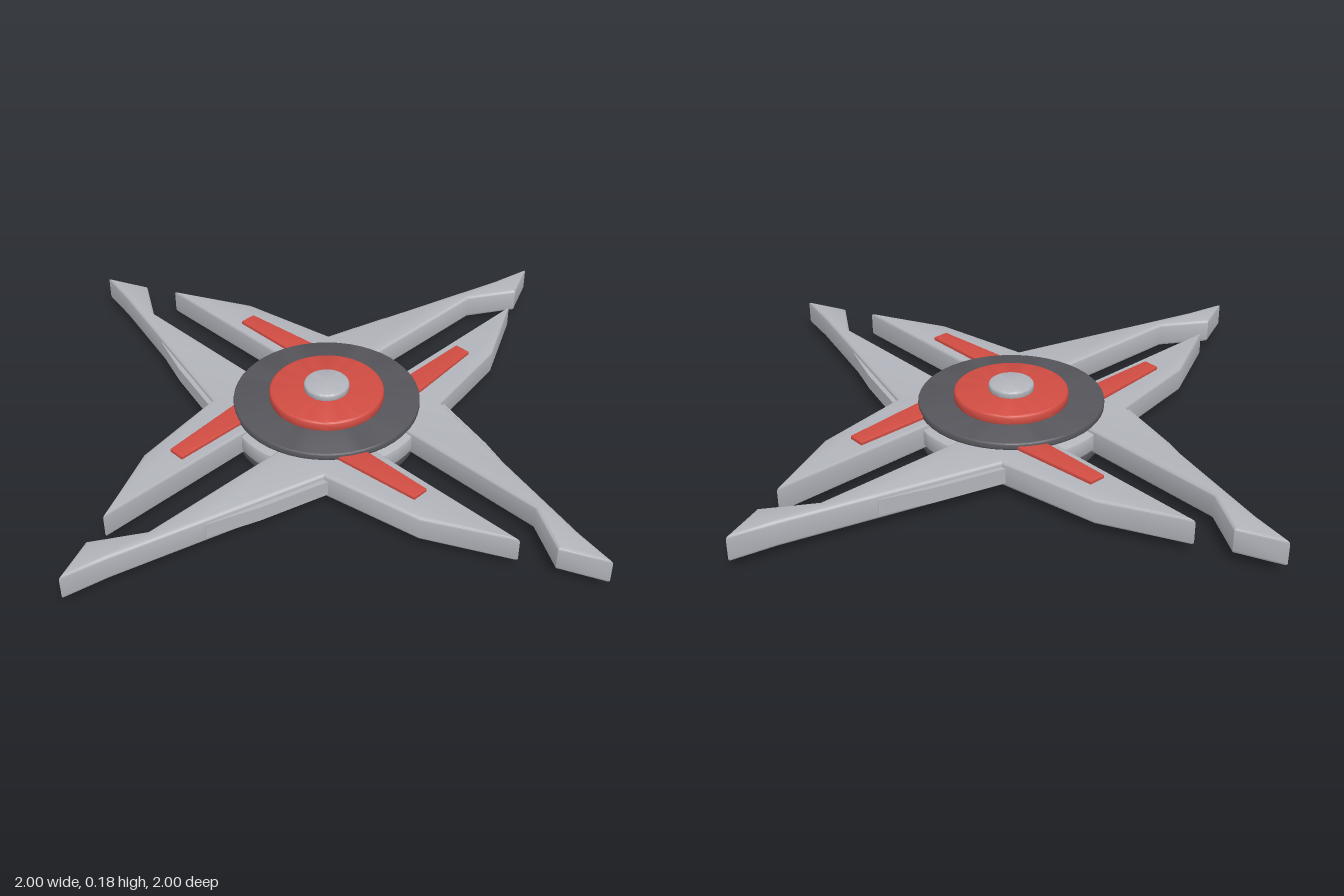
import * as THREE from 'three';
import { toCreasedNormals } from 'three/addons/utils/BufferGeometryUtils.js';

const steel = new THREE.MeshStandardMaterial({ color: 0xb2b4bb });
steel.name = 'steel grey';
const dark = new THREE.MeshStandardMaterial({ color: 0x55555b });
dark.name = 'dark grey';
const red = new THREE.MeshStandardMaterial({ color: 0xd04c42 });
red.name = 'red';

// Extrudes an [x, z] outline upward from y0 to y1, with an inward edge bevel
function slab(name, points, y0, y1, bevel, material) {
  const shape = new THREE.Shape(points.map(([x, z]) => new THREE.Vector2(x, -z)));
  const geometry = new THREE.ExtrudeGeometry(shape, {
    depth: y1 - y0 - 2 * bevel,
    bevelEnabled: bevel > 0,
    bevelThickness: bevel,
    bevelSize: bevel,
    bevelOffset: -bevel,
    bevelSegments: 3,
  });
  geometry.rotateX(-Math.PI / 2);
  geometry.translate(0, y0 + bevel, 0);
  const mesh = new THREE.Mesh(toCreasedNormals(geometry, 0.6), material);
  mesh.name = name;
  return mesh;
}

// Round disc with softly rounded rims
function disc(name, radius, y0, y1, round, material) {
  const profile = [new THREE.Vector2(0, y0)];
  for (let i = 0; i <= 4; i++) {
    const a = (i / 4) * Math.PI / 2;
    profile.push(new THREE.Vector2(radius - round + round * Math.sin(a), y0 + round - round * Math.cos(a)));
  }
  for (let i = 0; i <= 4; i++) {
    const a = (i / 4) * Math.PI / 2;
    profile.push(new THREE.Vector2(radius - round + round * Math.cos(a), y1 - round + round * Math.sin(a)));
  }
  profile.push(new THREE.Vector2(0, y1));
  const geometry = toCreasedNormals(new THREE.LatheGeometry(profile, 48), 0.6);
  const mesh = new THREE.Mesh(geometry, material);
  mesh.name = name;
  return mesh;
}

// One quarter: a short blade and a long hooked blade joined at the root
function createBladePair() {
  const pair = new THREE.Group();
  pair.name = 'bladePair';
  pair.add(slab('blades', [
    [0.065, 0.065], [0.78, 0.065], [0.54, 0.19], [0.235, 0.245], [0.14, 0.6],
    [0.068, 0.87], [0.04, 1], [-0.02, 0.87], [0.065, 0.73],
  ], 0.03, 0.107, 0.009, steel));
  // Thin reinforcing rib on the outer edge of the long blade
  pair.add(slab('edgeRib', [
    [0.22, 0.25], [0.25, 0.245], [0.195, 0.45], [0.142, 0.6], [0.13, 0.6],
  ], 0.045, 0.092, 0, steel));
  // Raised strip along the short blade
  pair.add(slab('redStrip', [
    [0.2, 0.095], [0.48, 0.095], [0.48, 0.145], [0.2, 0.172],
  ], 0.1, 0.118, 0.003, red));
  return pair;
}

export function createModel() {
  const model = new THREE.Group();
  model.name = 'throwingStar';

  for (let i = 0; i < 4; i++) {
    const pair = createBladePair();
    pair.rotation.y = (i * Math.PI) / 2;
    model.add(pair);
  }

  // Hub: core, collar, cover plates and stacked centre cap
  model.add(disc('hubCore', 0.24, 0.02, 0.115, 0.004, steel));
  model.add(disc('hubCollar', 0.29, 0.042, 0.094, 0.004, steel));
  model.add(disc('bottomPlate', 0.276, 0, 0.03, 0.006, dark));
  model.add(disc('topPlate', 0.276, 0.105, 0.128, 0.006, dark));
  model.add(disc('redCap', 0.17, 0.12, 0.156, 0.01, red));
  model.add(disc('centreButton', 0.067, 0.15, 0.177, 0.008, steel));
  return model;
}
